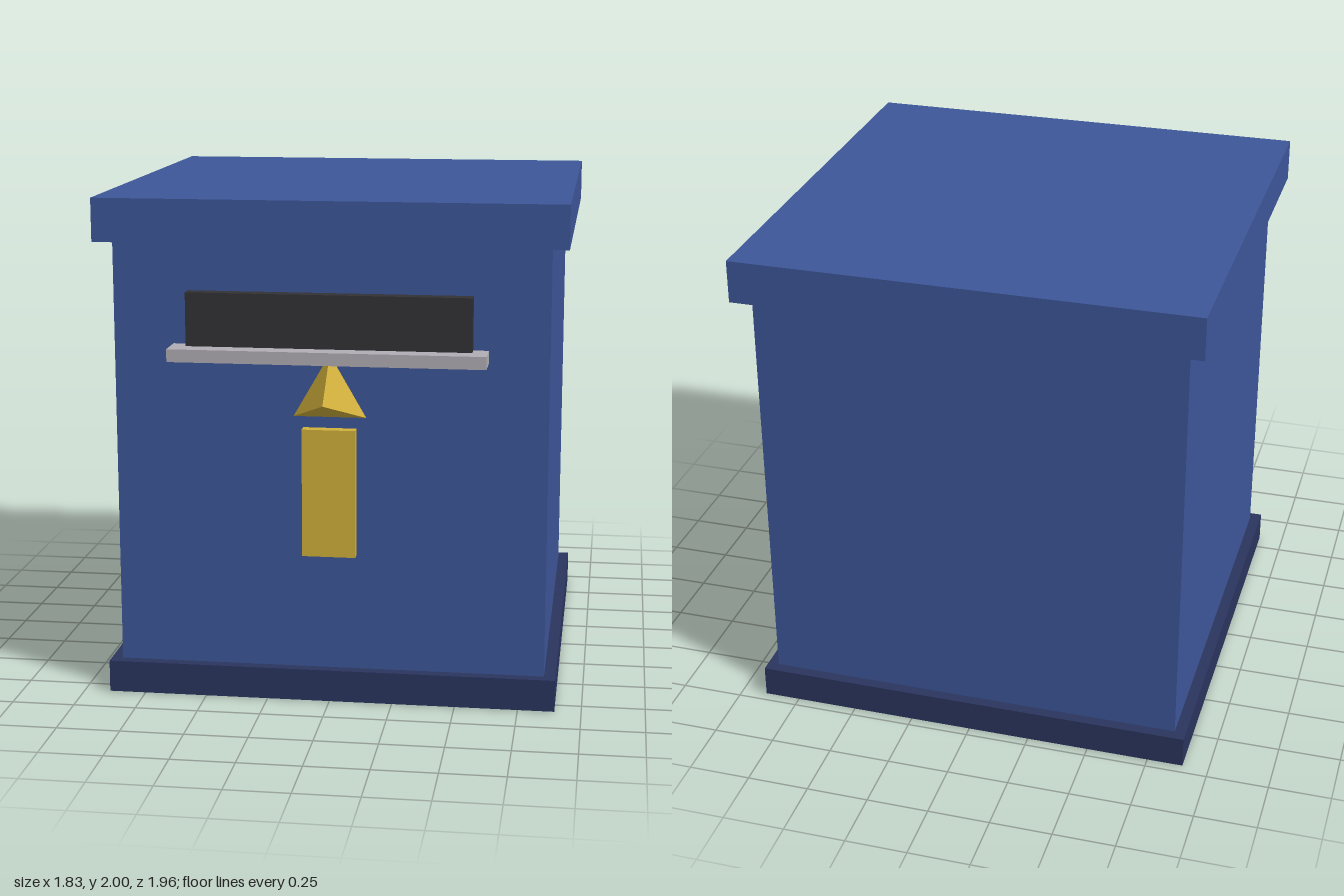
import * as THREE from 'three';

const material = (color) => new THREE.MeshStandardMaterial({ color, flatShading: true });

export function createModel() {
  const group = new THREE.Group();
  const blue = material(0x3d5699);
  const navy = material(0x2a355f);
  const black = material(0x323236);
  const silver = material(0xb0aeb4);
  const gold = material(0xd1b03c);

  // Box given by its full width (centred on x) and its y and z ranges
  function addBox(name, mat, width, [y0, y1], [z0, z1]) {
    const mesh = new THREE.Mesh(new THREE.BoxGeometry(width, y1 - y0, z1 - z0), mat);
    mesh.position.set(0, (y0 + y1) / 2, (z0 + z1) / 2);
    mesh.name = name;
    group.add(mesh);
  }

  // Cabinet: body, overhanging lid and plinth
  addBox('body', blue, 1.7, [0, 1.83], [-0.915, 0.785]);
  addBox('lid', blue, 1.83, [1.83, 2], [-0.98, 0.85]);
  addBox('base', navy, 1.79, [0.002, 0.13], [-0.96, 0.83]);

  // Letter slot with its ledge
  addBox('slot', black, 1.11, [1.42, 1.64], [0.74, 0.84]);
  addBox('slotLedge', silver, 1.23, [1.38, 1.43], [0.74, 0.915]);

  // Gold plate below the slot
  addBox('plate', gold, 0.21, [0.6, 1.11], [0.75, 0.83]);

  // Three-sided spike pointing forward, one corner of its base up
  const spike = new THREE.ConeGeometry(0.165, 0.195, 3);
  spike.rotateY(Math.PI).rotateX(Math.PI / 2);
  const arrow = new THREE.Mesh(spike, gold);
  arrow.position.set(0, 1.236, 0.8825);
  arrow.name = 'arrow';
  group.add(arrow);

  return group;
}
